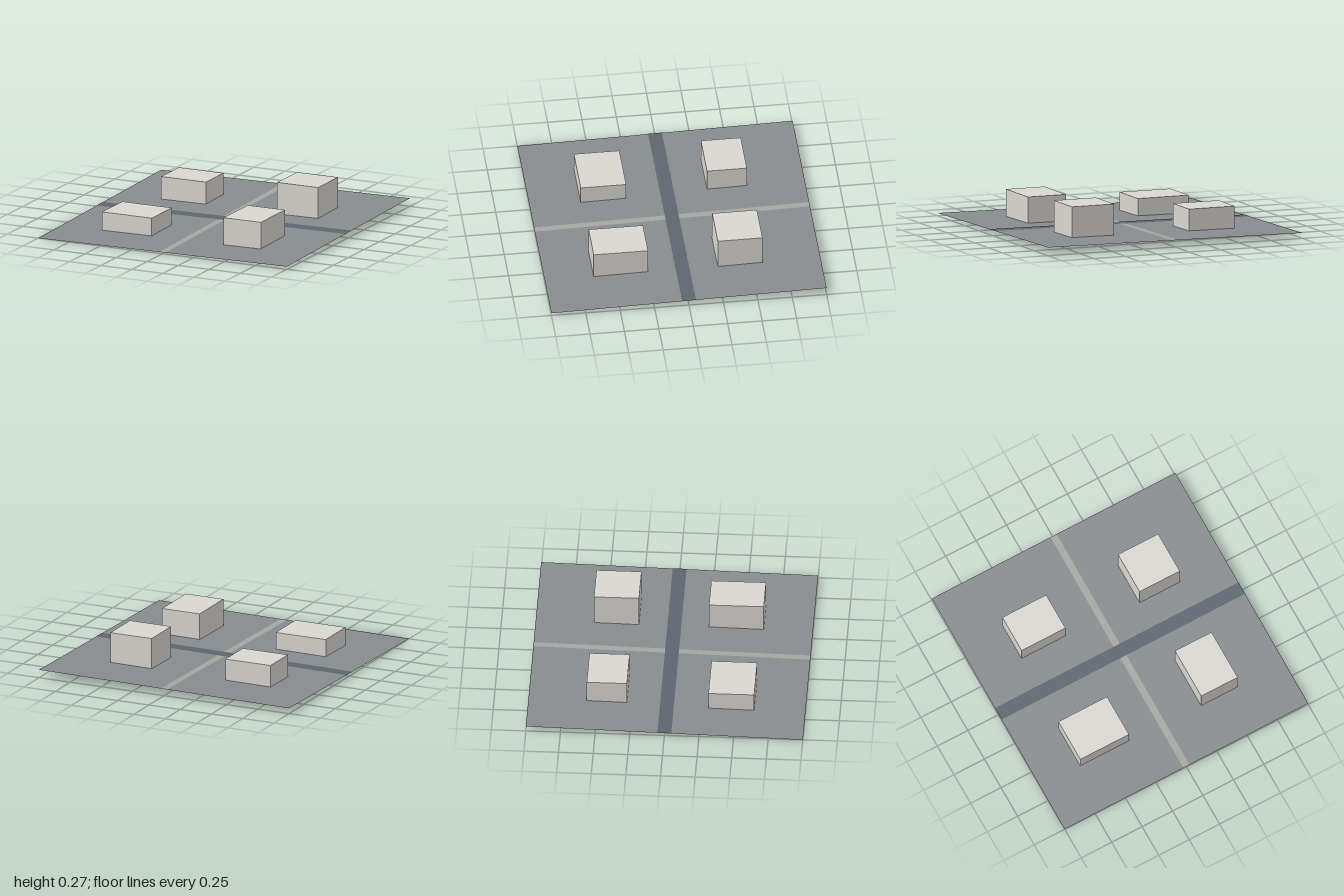
import * as THREE from 'three';

// Height of the gently sloping site at a plan position
const slope = (x, z) => 0.03 + 0.01 * x - 0.02 * z;

// Flat sheet draped on the slope, lifted slightly to layer over others
function sheet(name, width, depth, lift, color) {
  const geometry = new THREE.PlaneGeometry(width, depth).rotateX(-Math.PI / 2);
  const p = geometry.attributes.position;
  for (let i = 0; i < p.count; i++) p.setY(i, slope(p.getX(i), p.getZ(i)) + lift);
  geometry.computeVertexNormals();
  const mesh = new THREE.Mesh(geometry, new THREE.MeshStandardMaterial({ color, side: THREE.DoubleSide }));
  mesh.name = name;
  return mesh;
}

// Upright block whose base reaches just under the lowest ground it covers
function building(name, [x0, x1], [z0, z1], top) {
  const base = slope(x0, z1) - 0.002;
  const mesh = new THREE.Mesh(
    new THREE.BoxGeometry(x1 - x0, top - base, z1 - z0),
    new THREE.MeshStandardMaterial({ color: 0xd8d6d0 })
  );
  mesh.position.set((x0 + x1) / 2, (base + top) / 2, (z0 + z1) / 2);
  mesh.name = name;
  return mesh;
}

export function createModel() {
  const model = new THREE.Group();
  model.name = 'sitePlan';

  // Ground with a footpath and a road crossing over it
  model.add(
    sheet('ground', 2, 2, 0, 0x888c8e),
    sheet('footpath', 0.05, 2, 0.001, 0xa5a6a2),
    sheet('road', 2, 0.1, 0.002, 0x5f656e)
  );

  // One building per quarter of the site
  model.add(
    building('frontRightBuilding', [-0.67, -0.27], [0.3, 0.63], 0.147),
    building('backRightBuilding', [-0.65, -0.29], [-0.58, -0.29], 0.197),
    building('frontLeftBuilding', [0.315, 0.615], [0.25, 0.645], 0.222),
    building('backLeftBuilding', [0.3, 0.63], [-0.58, -0.255], 0.272)
  );
  return model;
}
